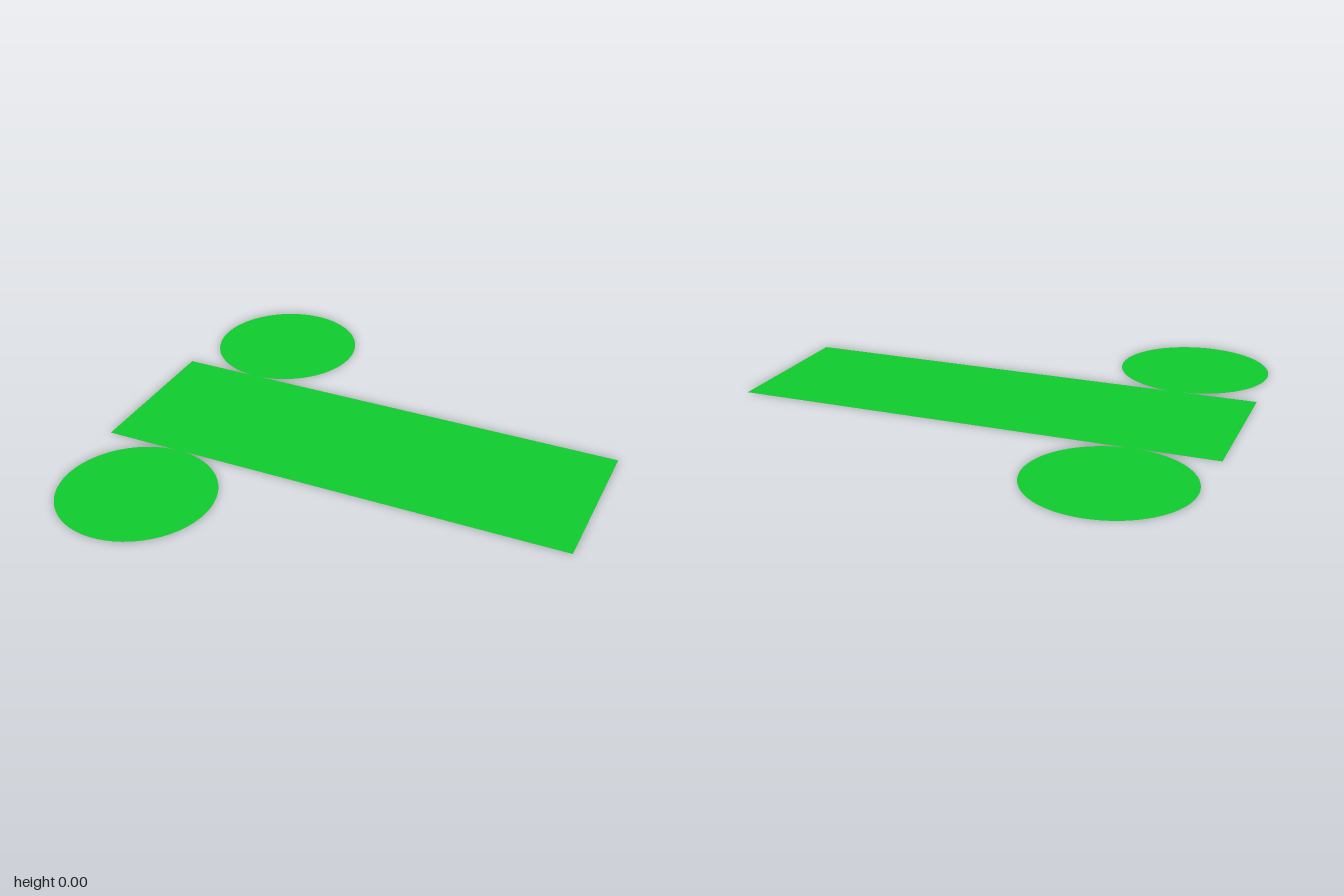
import * as THREE from 'three';

// Flat unfolded net of a cylinder: a wrap-around wall and two round end caps
export function createModel() {
  const group = new THREE.Group();
  const material = new THREE.MeshStandardMaterial({ color: 0x0fcc2e, side: THREE.DoubleSide });
  const length = 2, width = 0.667;
  const radius = length / (2 * Math.PI); // cap circumference equals the wall length

  const addFlat = (name, geometry, x, z) => {
    const mesh = new THREE.Mesh(geometry.rotateX(-Math.PI / 2), material);
    mesh.name = name;
    mesh.position.set(x, 0, z);
    group.add(mesh);
  };

  // Rectangular wall
  addFlat('wallSheet', new THREE.PlaneGeometry(length, width), 0, 0);

  // End caps touching the two long edges
  for (const side of [1, -1]) {
    addFlat(side > 0 ? 'frontCap' : 'backCap', new THREE.CircleGeometry(radius, 96),
      -0.667, side * (width / 2 + radius));
  }
  return group;
}
